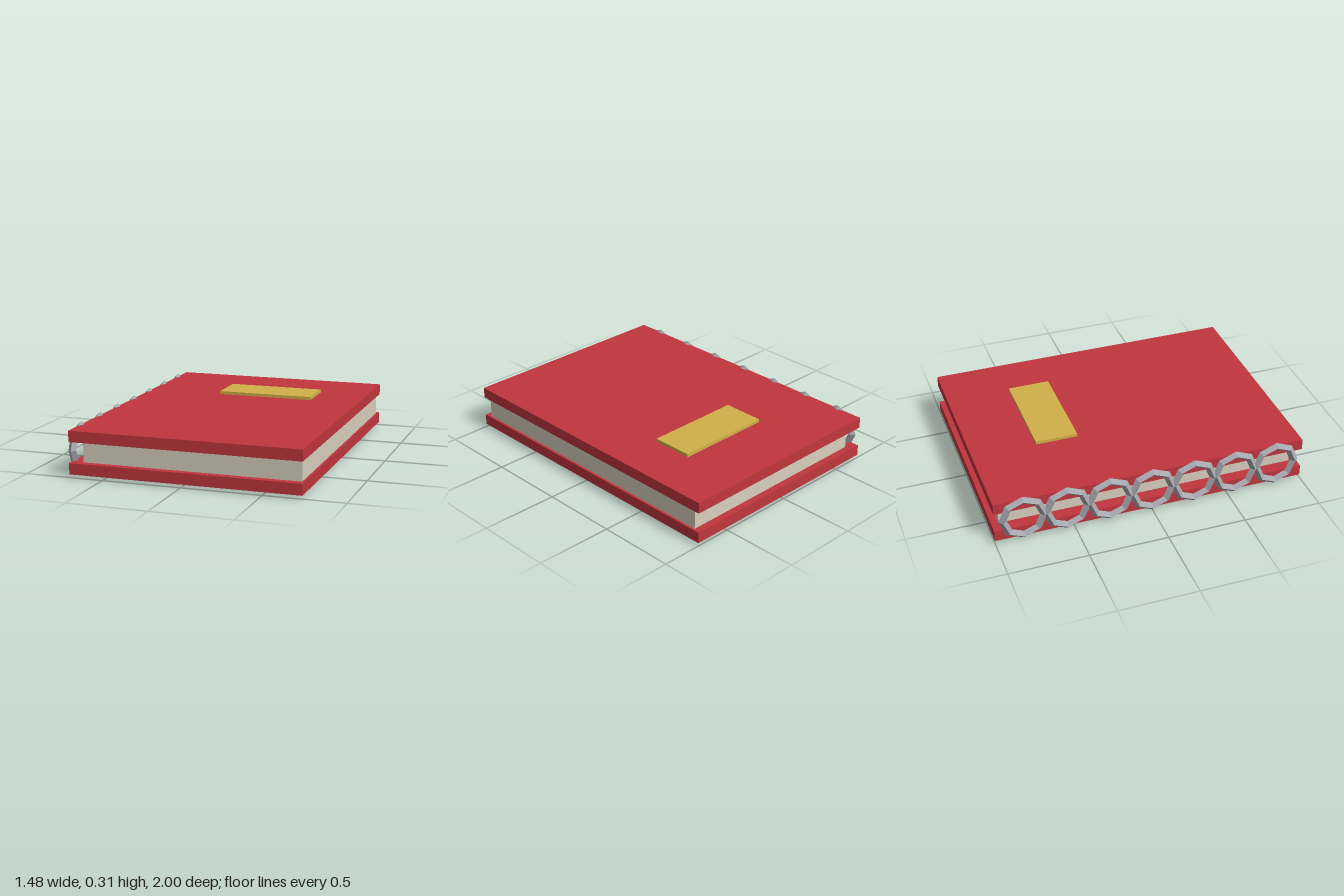
import * as THREE from 'three';

const material = (color) => new THREE.MeshStandardMaterial({ color, flatShading: true });

// Box given by its extents along each axis
function slab(name, [x0, x1], [y0, y1], [z0, z1], mat) {
  const mesh = new THREE.Mesh(new THREE.BoxGeometry(x1 - x0, y1 - y0, z1 - z0), mat);
  mesh.position.set((x0 + x1) / 2, (y0 + y1) / 2, (z0 + z1) / 2);
  mesh.name = name;
  return mesh;
}

export function createModel() {
  const model = new THREE.Group();
  model.name = 'notebook';

  const red = material(0xc1363e);
  const cream = material(0xd8d0be);
  const gold = material(0xd1b048);
  const metal = material(0xa6a7ae);

  // Covers, page block and title plate
  const coverX = [-0.715, 0.74];
  model.add(
    slab('backCover', coverX, [0.02, 0.09], [-1, 1], red),
    slab('frontCover', coverX, [0.22, 0.29], [-1, 1], red),
    slab('pages', [-0.64, 0.725], [0.09, 0.22], [-0.955, 0.955], cream),
    slab('titlePlate', [-0.215, 0.42], [0.29, 0.31], [-0.59, -0.32], gold),
  );

  // Binding rings along the spine: octagons with a diamond section
  const ringGeometry = new THREE.TorusGeometry(0.129, 0.026, 4, 8).rotateY(Math.PI / 2);
  const rings = new THREE.Group();
  rings.name = 'bindingRings';
  for (let i = -3; i <= 3; i++) {
    const ring = new THREE.Mesh(ringGeometry, metal);
    ring.name = 'bindingRing';
    ring.position.set(-0.715, 0.155, i * 0.273);
    rings.add(ring);
  }
  model.add(rings);

  return model;
}
